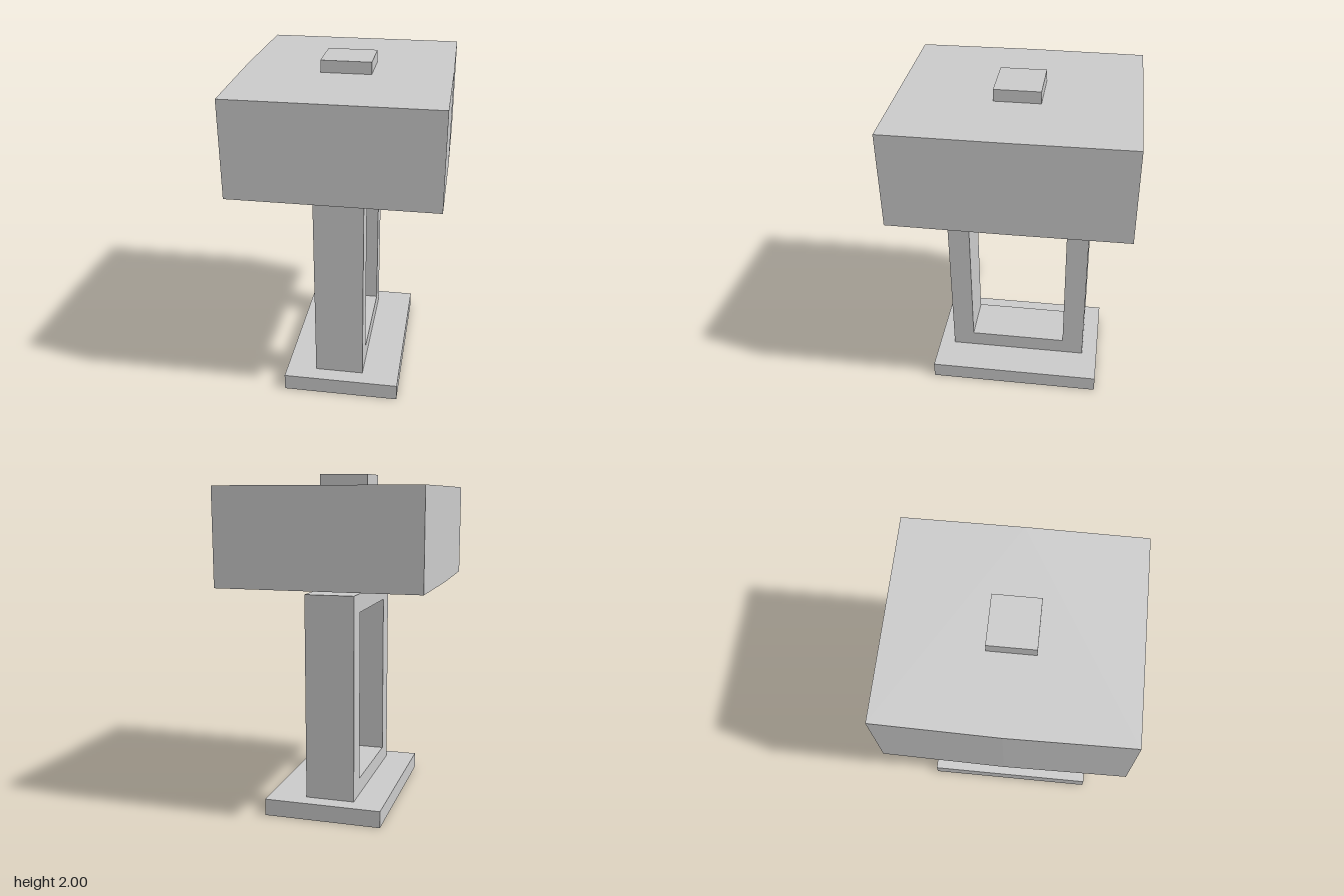
import * as THREE from 'three';

const material = new THREE.MeshStandardMaterial({ color: 0xcccccc, flatShading: true });

function add(group, name, geometry) {
  const mesh = new THREE.Mesh(geometry, material);
  mesh.name = name;
  group.add(mesh);
}

// Box given by its limits on each axis
function box([x0, x1], [y0, y1], [z0, z1]) {
  return new THREE.BoxGeometry(x1 - x0, y1 - y0, z1 - z0)
    .translate((x0 + x1) / 2, (y0 + y1) / 2, (z0 + z1) / 2);
}

function points(list) {
  return list.map(([a, b]) => new THREE.Vector2(a, b));
}

function rectangle(a, y0, y1) {
  return points([[-a, y0], [a, y0], [a, y1], [-a, y1]]);
}

export function createModel() {
  const group = new THREE.Group();
  group.name = 'tableLamp';

  // Foot plate, set slightly off-centre
  add(group, 'base', box([-0.33, 0.37], [0, 0.1], [-0.53, 0.53]));

  // Upright rectangular frame with an open middle
  const outline = new THREE.Shape(rectangle(0.433, 0.1, 1.32));
  outline.holes.push(new THREE.Path(rectangle(0.3, 0.2, 1.21)));
  const frame = new THREE.ExtrudeGeometry(outline, { depth: 0.293, bevelEnabled: false });
  frame.rotateY(-Math.PI / 2).translate(0.145, 0, 0);
  add(group, 'frame', frame);

  // Thin neck joining frame and shade
  add(group, 'neck', box([-0.148, 0.145], [1.32, 1.37], [-0.04, 0.04]));

  // Shade, its two sides bowed out a little at the middle
  const plan = new THREE.Shape(points([
    [-0.587, -0.677], [0.59, -0.677], [0.594, 0],
    [0.59, 0.677], [-0.587, 0.677], [-0.597, 0],
  ]));
  const shade = new THREE.ExtrudeGeometry(plan, { depth: 0.56, bevelEnabled: false });
  shade.rotateX(-Math.PI / 2).translate(0, 1.37, 0);
  add(group, 'shade', shade);

  // Small block on top of the shade
  add(group, 'cap', box([-0.146, 0.143], [1.93, 2], [-0.132, 0.132]));

  return group;
}
